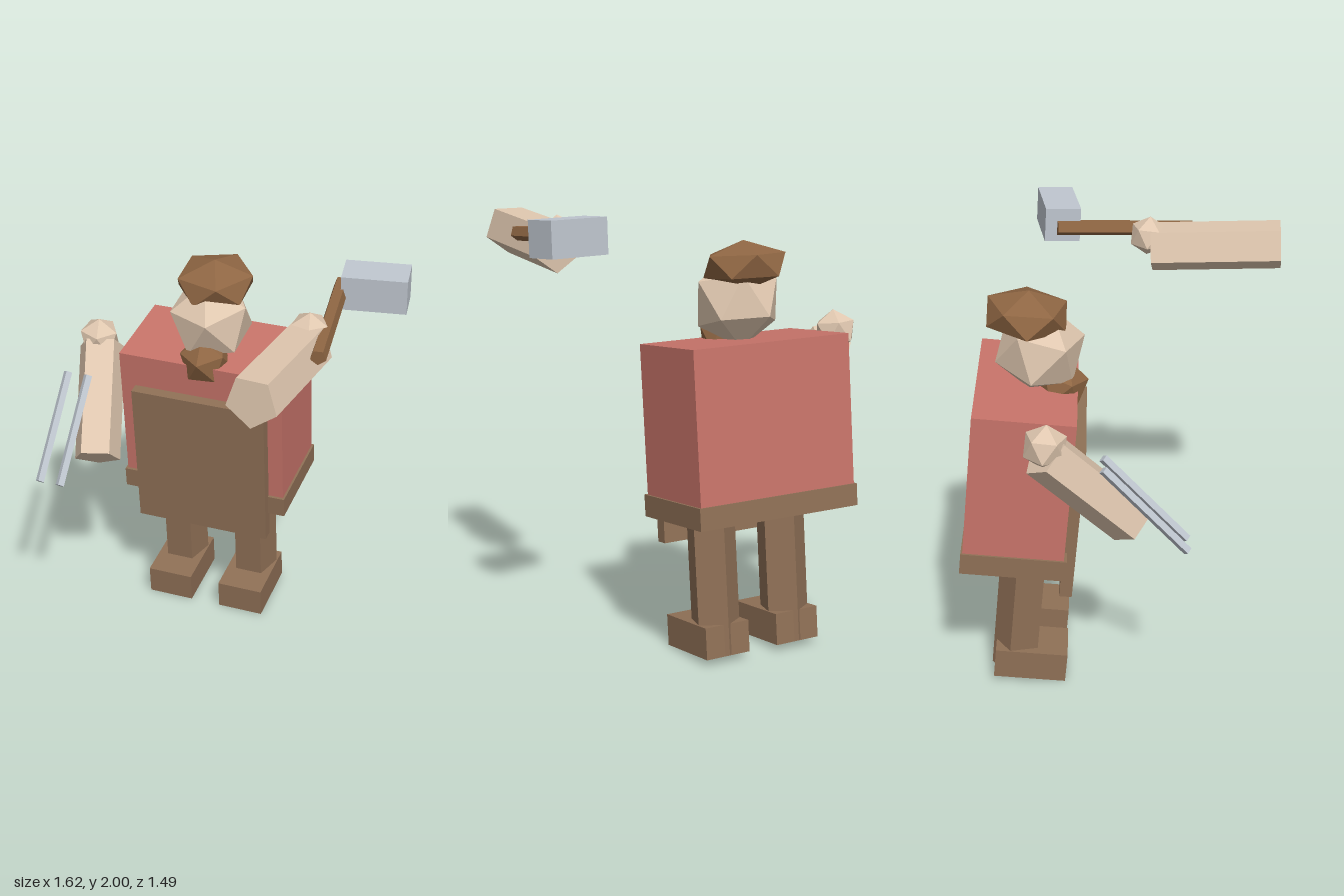
import * as THREE from 'three';

const mat = (name, color) => {
  const m = new THREE.MeshStandardMaterial({ color, flatShading: true });
  m.name = name;
  return m;
};

export function createModel() {
  const root = new THREE.Group();
  root.name = 'blacksmith';
  const red = mat('shirt red', 0xc8746a);
  const leather = mat('leather brown', 0x8f7056);
  const hair = mat('hair brown', 0x8f6643);
  const skin = mat('skin', 0xdfc7af);
  const steel = mat('steel', 0xbfc6cf);
  const LEAN = 0.1; // forward lean of the whole body
  const MID = -0.146; // body centre line
  const V = (a) => new THREE.Vector3(...a);

  const add = (name, geometry, material, pos) => {
    const mesh = new THREE.Mesh(geometry, material);
    mesh.name = name;
    mesh.position.set(...pos);
    root.add(mesh);
    return mesh;
  };

  const box = (name, size, pos, material, rot = [LEAN, 0, 0]) => {
    const mesh = add(name, new THREE.BoxGeometry(...size), material, pos);
    mesh.rotation.set(...rot);
    return mesh;
  };

  // Prism running from p to q
  const limb = (name, p, q, r, material, sides = 5, roll = 0) => {
    const len = V(p).distanceTo(V(q));
    const geo = new THREE.CylinderGeometry(r, r, len, sides);
    geo.rotateX(Math.PI / 2).rotateZ(roll).translate(0, 0, len / 2);
    const mesh = add(name, geo, material, p);
    mesh.lookAt(V(q));
    return mesh;
  };

  // Twenty-sided ball with two neighbouring corners aimed along a and b
  const ball = (name, r, pos, material, a, b, squash = 1) => {
    const A = V(a).normalize(), B = V(b).normalize();
    const x = A.clone().sub(B).normalize();
    const y = A.clone().add(B).normalize();
    const z = x.clone().cross(y);
    const geo = new THREE.IcosahedronGeometry(r, 0);
    geo.applyMatrix4(new THREE.Matrix4().makeBasis(x, y, z)).scale(1, squash, 1);
    return add(name, geo, material, pos);
  };

  // Torso and clothing
  box('shirt', [0.81, 0.72, 0.453], [MID, 1.072, -0.466], red);
  box('belt', [0.83, 0.1, 0.475], [MID, 0.705, -0.5], leather);
  box('apron', [0.665, 0.745, 0.058], [MID, 0.867, -0.234], leather);

  // Legs and boots
  for (const side of [-1, 1]) {
    const x = MID + side * 0.188;
    limb('leg', [x, 0.03, -0.513], [x, 0.7, -0.446], 0.114, leather, 5, Math.PI);
    box('boot', [0.226, 0.145, 0.335], [x, 0.09, -0.441], leather);
  }

  // Head, cap and beard
  ball('head', 0.208, [MID, 1.59, -0.37], skin, [0.88, 0.434, 0.19], [0.73, -0.52, 0.44]);
  const cap = ball('cap', 0.205, [MID, 1.757, -0.424], hair,
    [0, 1, 0], [0.893, 0.447, -0.047], 0.54);
  cap.rotation.x = LEAN;
  ball('beard', 0.125, [-0.143, 1.415, -0.28], hair, [-0.13, 0.95, 0.28], [0.87, 0.33, 0.37]);

  // Floating right arm with tongs
  limb('rightArm', [-0.7, 1.36, -0.34], [-0.58, 0.955, 0.03], 0.114, skin);
  ball('rightHand', 0.102, [-0.71, 1.4, -0.338], skin, [0.1, 1, 0.1], [0.9, 0.45, 0.1]);
  for (const x of [-0.77, -0.667]) {
    limb('tongBar', [x, 1.32, -0.095], [x, 0.918, 0.266], 0.021, steel, 4);
  }

  // Floating left arm raising a hammer
  limb('leftArm', [0.485, 1.815, 0.14], [0.44, 1.84, 0.74], 0.118, skin);
  ball('leftHand', 0.092, [0.485, 1.872, 0.125], skin, [0.1, 1, 0.1], [0.9, 0.45, 0.1]);
  limb('hammerHandle', [0.5, 1.907, -0.3], [0.59, 1.868, 0.336], 0.036, hair);
  box('hammerHead', [0.292, 0.16, 0.165], [0.657, 1.916, -0.297], steel, [0.06, 0.155, 0]);

  return root;
}
